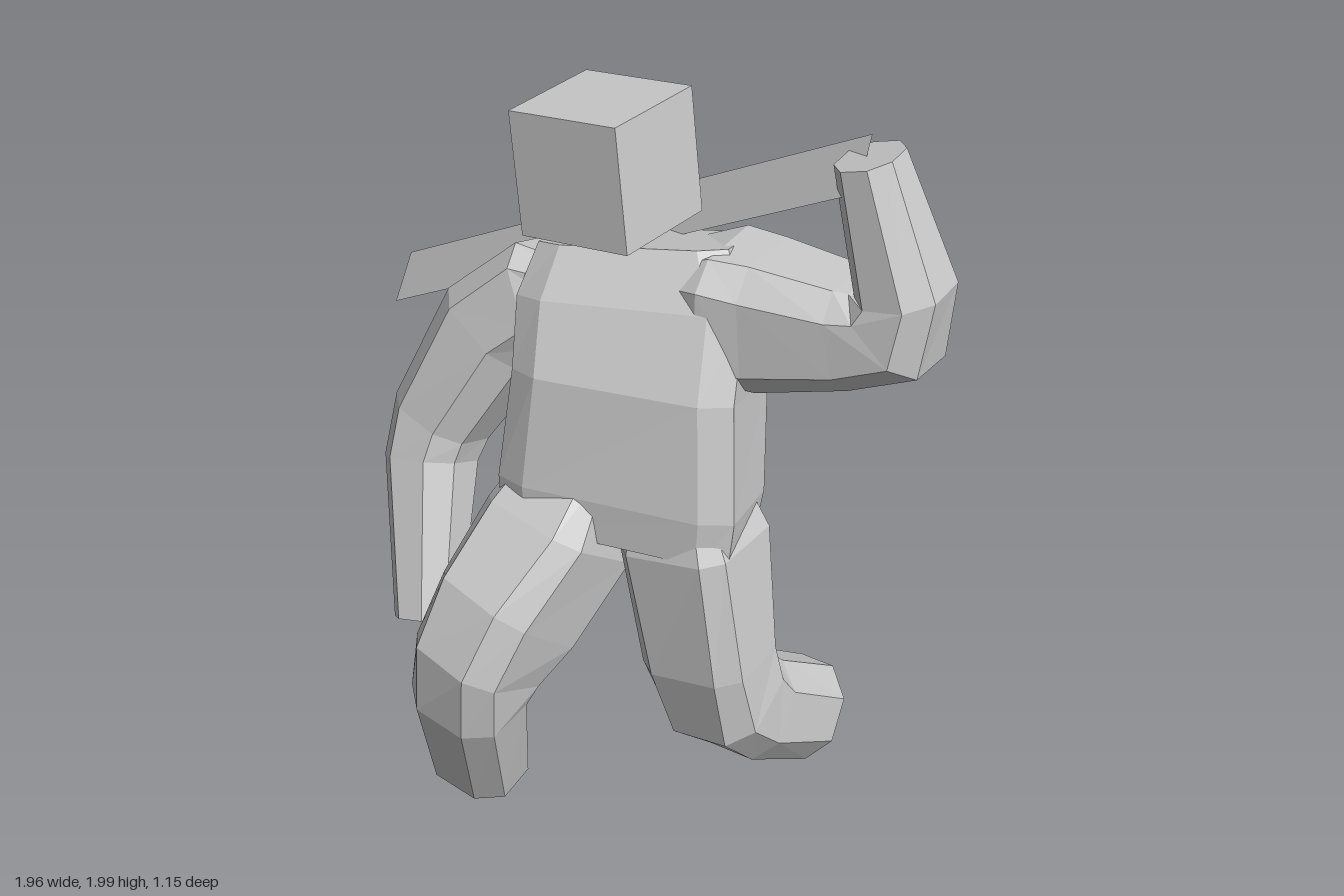
import * as THREE from 'three';

const V = (a) => new THREE.Vector3(a[0], a[1], a[2]);
const material = () => new THREE.MeshStandardMaterial({ color: 0xcccccc, flatShading: true });

// Chamfered eight-sided cross-section; k near 1 is boxy, near 0.4 regular
const octagon = (k) => [[1, -k], [1, k], [k, 1], [-k, 1], [-1, k], [-1, -k], [-k, -1], [k, -1]];

// Capped loft along sections [x, y, z, halfWidth, halfDepth]; side is the width
// direction, and the chamfer goes from k0 at the first section to k1 at the last
function loft(name, side, k0, k1, sections) {
  const centers = sections.map(V);
  const last = sections.length - 1;
  const rings = sections.map(([, , , w, d], i) => {
    const t = centers[Math.min(i + 1, last)].clone().sub(centers[Math.max(i - 1, 0)]).normalize();
    const u = V(side).projectOnPlane(t).normalize();
    const v = t.clone().cross(u);
    const shape = octagon(THREE.MathUtils.lerp(k0, k1, i / last));
    return shape.map(([a, b]) => centers[i].clone().addScaledVector(u, a * w).addScaledVector(v, b * d));
  });
  const points = [];
  for (let j = 0; j < 8; j++) {
    const n = (j + 1) % 8;
    for (let i = 0; i < last; i++) {
      const [a, b, c, d] = [rings[i][j], rings[i][n], rings[i + 1][n], rings[i + 1][j]];
      points.push(a, b, c, a, c, d);
    }
    points.push(centers[0], rings[0][n], rings[0][j]);
    points.push(centers[last], rings[last][j], rings[last][n]);
  }
  const geometry = new THREE.BufferGeometry().setFromPoints(points);
  geometry.computeVertexNormals();
  const mesh = new THREE.Mesh(geometry, material());
  mesh.name = name;
  return mesh;
}

export function createModel() {
  const group = new THREE.Group();
  group.name = 'swordFighter';

  // Torso, turned a little so its right side leads, right shoulder lower
  group.add(loft('torso', [1, 0, -0.22], 0.75, 0.72, [
    [0.20, 0.83, 0.09, 0.31, 0.145],
    [0.20, 0.95, 0.075, 0.32, 0.17],
    [0.195, 1.25, 0.03, 0.295, 0.195],
    [0.175, 1.44, -0.025, 0.30, 0.18],
    [0.15, 1.585, -0.055, 0.25, 0.13],
  ]));

  // Left leg, shin kicked back; the narrow top is buried in the torso
  group.add(loft('leftLeg', [1, 0, 0], 0.75, 0.45, [
    [0.34, 1.00, 0.04, 0.11, 0.11],
    [0.372, 0.83, 0.04, 0.16, 0.16],
    [0.425, 0.48, 0.04, 0.155, 0.135],
    [0.45, 0.34, 0.00, 0.15, 0.145],
    [0.47, 0.265, -0.09, 0.14, 0.14],
    [0.52, 0.13, -0.325, 0.12, 0.135],
  ]));

  // Right leg, thigh lifted forward
  group.add(loft('rightLeg', [1, 0, 0.1], 0.7, 0.5, [
    [0.07, 1.00, 0.09, 0.12, 0.10],
    [0.045, 0.81, 0.18, 0.165, 0.18],
    [-0.015, 0.62, 0.33, 0.155, 0.195],
    [-0.06, 0.49, 0.41, 0.145, 0.165],
    [-0.08, 0.38, 0.425, 0.14, 0.125],
    [-0.14, 0.07, 0.305, 0.13, 0.105],
  ]));

  // Left arm, raised from the elbow
  group.add(loft('leftArm', [0, 0, 1], 0.65, 0.45, [
    [0.22, 1.45, -0.07, 0.12, 0.11],
    [0.38, 1.455, -0.08, 0.18, 0.17],
    [0.50, 1.452, -0.09, 0.17, 0.172],
    [0.74, 1.485, -0.09, 0.15, 0.132],
    [0.85, 1.525, -0.09, 0.14, 0.132],
    [0.87, 1.63, -0.085, 0.125, 0.11],
    [0.77, 1.965, -0.055, 0.085, 0.08],
  ]));

  // Right arm, hanging with the hand forward
  group.add(loft('rightArm', [1, 0, 0], 0.6, 0.45, [
    [0.08, 1.43, 0.00, 0.08, 0.11],
    [-0.10, 1.39, 0.005, 0.14, 0.16],
    [-0.23, 1.27, 0.045, 0.145, 0.15],
    [-0.36, 1.00, 0.13, 0.12, 0.125],
    [-0.37, 0.89, 0.17, 0.11, 0.12],
    [-0.28, 0.50, 0.33, 0.08, 0.085],
  ]));

  // Cube head, tilted
  const head = new THREE.Mesh(new THREE.BoxGeometry(0.325, 0.33, 0.32), material());
  head.name = 'head';
  head.position.set(0.073, 1.80, 0.005);
  head.rotation.set(0, -0.06, 0.12);
  group.add(head);

  // Thin flat blade across the back
  const [a, b, c, d] = [[-0.98, 1.02, -0.575], [-0.95, 0.92, -0.455], [0.78, 1.90, 0.02], [0.75, 2.0, -0.10]].map(V);
  const bladeGeometry = new THREE.BufferGeometry().setFromPoints([a, b, c, a, c, d]);
  bladeGeometry.computeVertexNormals();
  const blade = new THREE.Mesh(bladeGeometry, material());
  blade.material.side = THREE.DoubleSide;
  blade.name = 'blade';
  group.add(blade);

  return group;
}
